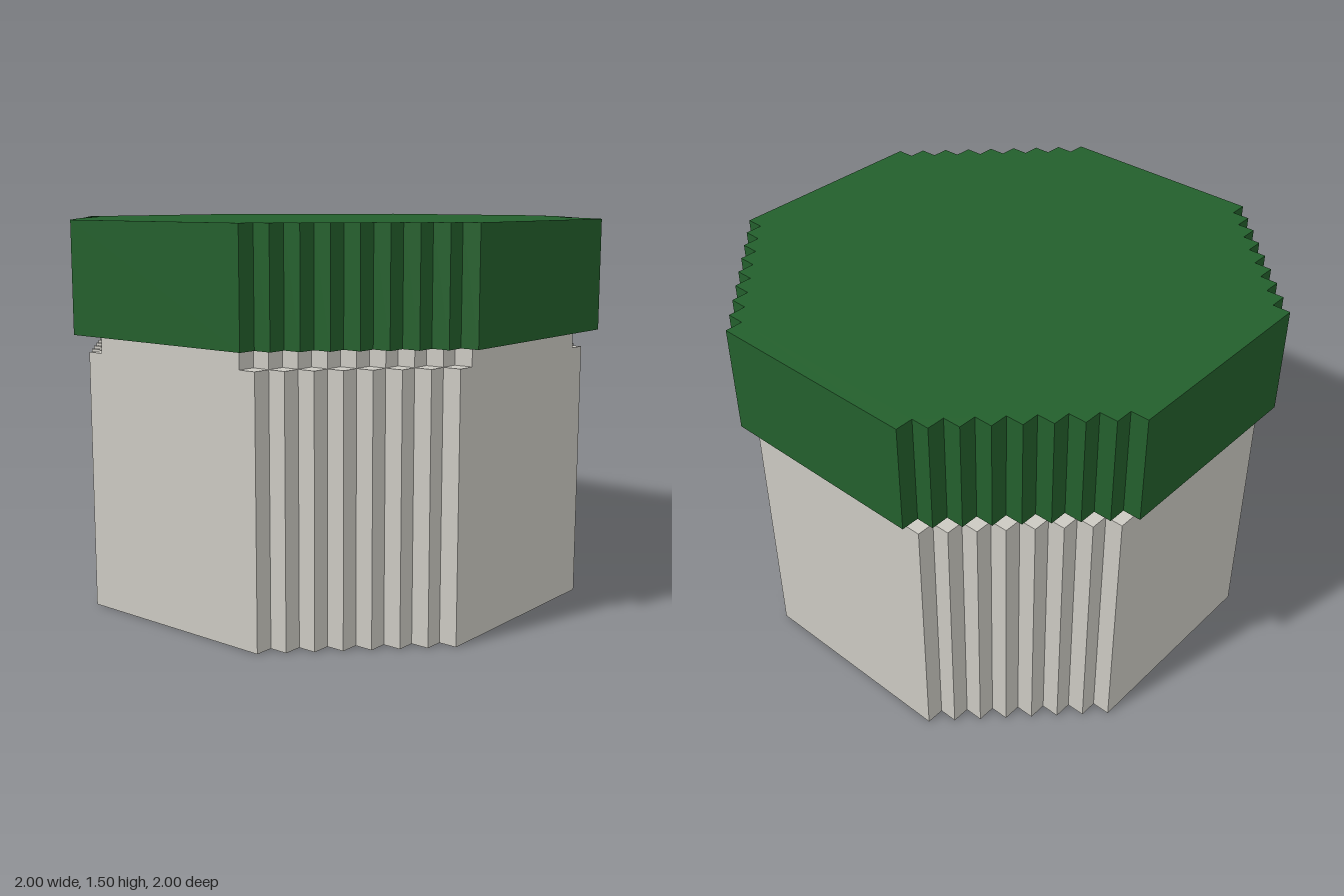
import * as THREE from 'three';

const U = 1 / 14; // size of one stair step

// Octagon-like outline with staircase corners: half = half width, flat = half length of each straight side
function steppedOutline(half, flat) {
  const corner = [];
  for (let k = 0; k < half - flat; k++) {
    corner.push([half - k, flat + k], [half - k - 1, flat + k]);
  }
  corner.push([flat, half]);
  const points = [];
  for (let q = 0; q < 4; q++) {
    for (const [x, y] of corner) {
      const p = [[x, y], [-y, x], [-x, -y], [y, -x]][q];
      points.push(new THREE.Vector2(p[0] * U, p[1] * U));
    }
  }
  return new THREE.Shape(points);
}

function layer(name, half, flat, bottom, top, material) {
  const geometry = new THREE.ExtrudeGeometry(steppedOutline(half, flat), {
    depth: (top - bottom) * U,
    bevelEnabled: false,
  });
  geometry.rotateX(-Math.PI / 2);
  geometry.translate(0, bottom * U, 0);
  const mesh = new THREE.Mesh(geometry, material);
  mesh.name = name;
  return mesh;
}

export function createModel() {
  const stone = new THREE.MeshStandardMaterial({ color: 0xcbc9c2 });
  stone.name = 'pale grey';
  const green = new THREE.MeshStandardMaterial({ color: 0x235f2c });
  green.name = 'dark green';

  const model = new THREE.Group();
  model.name = 'steppedDrum';
  model.add(
    layer('body', 13, 6, 0, 14, stone), // main drum
    layer('neck', 13, 5, 14, 15, stone), // slightly inset corners under the lid
    layer('lid', 14, 6, 15, 21, green) // overhanging cap
  );
  return model;
}
